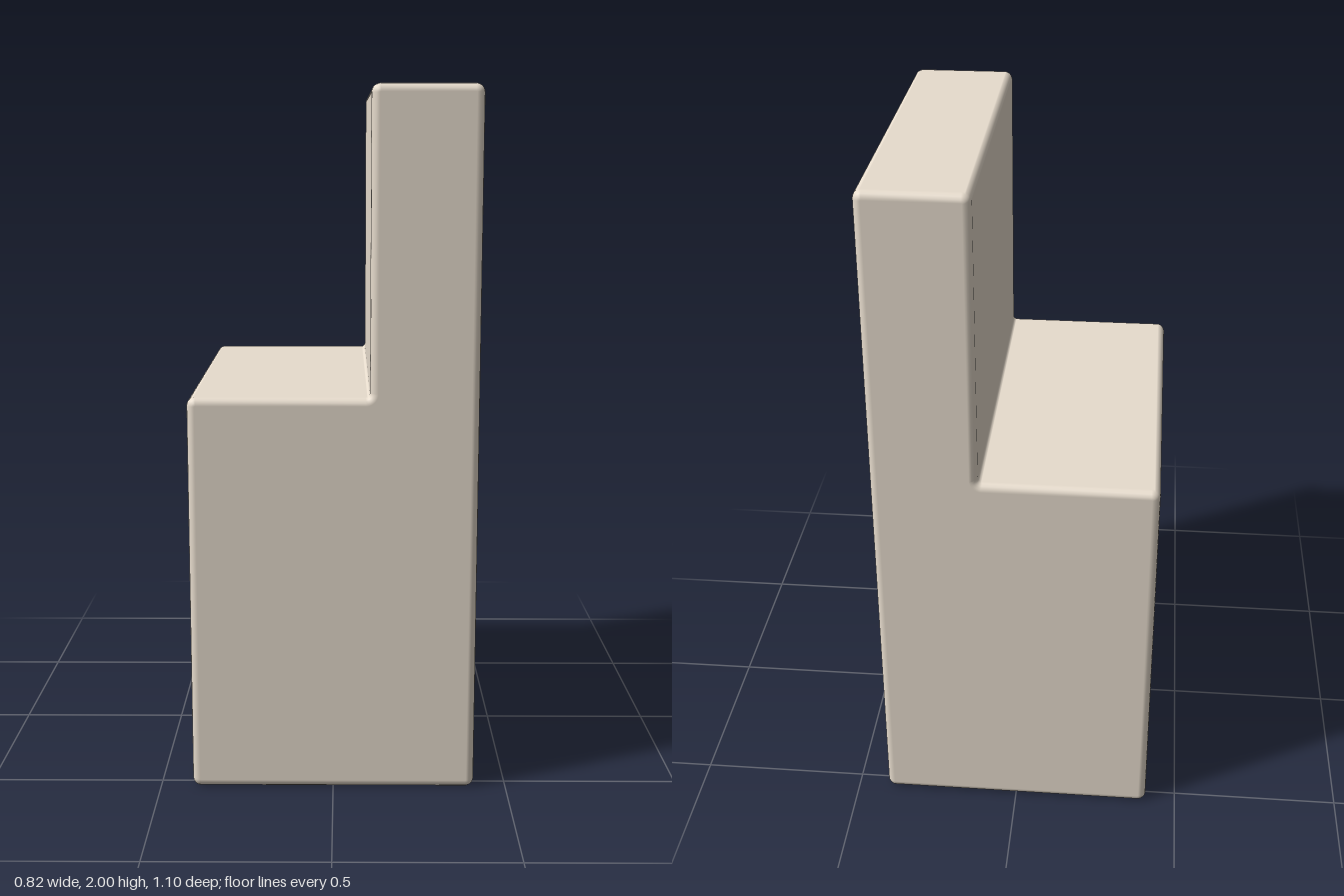
import * as THREE from 'three';
import { mergeVertices } from 'three/addons/utils/BufferGeometryUtils.js';

const BACK = -0.408, FRONT = 0.408, STEP_X = 0.103, STEP_Y = 1.147, TOP = 2, HALF = 0.548;
const R = 0.025, BEVEL = 0.023, DEPTH = 0.71;

// Closed outline with rounded corners; the inner corner is tighter
function roundedOutline(points, radius) {
  const shape = new THREE.Shape();
  points.forEach((p, i) => {
    const toPrev = points[(i + points.length - 1) % points.length].clone().sub(p);
    const toNext = points[(i + 1) % points.length].clone().sub(p);
    const convex = toNext.cross(toPrev) > 0;
    const r = convex ? radius : radius / 2;
    const a = p.clone().add(toPrev.setLength(r));
    const b = p.clone().add(toNext.setLength(r));
    const c = a.clone().add(b).sub(p);
    if (i === 0) shape.moveTo(a.x, a.y); else shape.lineTo(a.x, a.y);
    shape.absarc(c.x, c.y, r, Math.atan2(a.y - c.y, a.x - c.x), Math.atan2(b.y - c.y, b.x - c.x), !convex);
  });
  shape.closePath();
  return shape;
}

// Arched opening: flat sill, upright sides, half-round head
function archPath(path) {
  const w = 0.44, sill = 0.06, spring = 0.51, f = 0.012;
  path.moveTo(-w + f, sill);
  path.lineTo(w - f, sill);
  path.absarc(w - f, sill + f, f, -Math.PI / 2, 0);
  path.lineTo(w, spring);
  path.absarc(0, spring, w, 0, Math.PI);
  path.lineTo(-w, sill + f);
  path.absarc(-w + f, sill + f, f, Math.PI, Math.PI * 1.5);
  return path;
}

// Turn a drawing in (z, y) so that it faces -x at the given x
const faceSide = (geo, x) => geo.rotateY(-Math.PI / 2).translate(x, 0, 0);

// Stepped block with softened edges, left open on the -x side
function blockGeometry() {
  const outline = [
    [BACK, 0], [FRONT, 0], [FRONT, TOP], [STEP_X, TOP], [STEP_X, STEP_Y], [BACK, STEP_Y],
  ].map(([x, y]) => new THREE.Vector2(x, y));
  const depth = 2 * (HALF - BEVEL);
  let geo = new THREE.ExtrudeGeometry(roundedOutline(outline, R), {
    depth, curveSegments: 5, bevelEnabled: true, bevelSegments: 4,
    bevelSize: BEVEL, bevelThickness: BEVEL, bevelOffset: -BEVEL,
  });
  geo.translate(0, 0, -depth / 2);
  geo.deleteAttribute('uv');
  geo.deleteAttribute('normal');
  geo.clearGroups();
  geo = mergeVertices(geo, 1e-5);
  geo.computeVertexNormals();

  // keep the broad faces evenly flat: snap nearly axis-aligned normals
  const normal = geo.attributes.normal, n = new THREE.Vector3();
  for (let i = 0; i < normal.count; i++) {
    n.fromBufferAttribute(normal, i);
    if (Math.max(Math.abs(n.x), Math.abs(n.y), Math.abs(n.z)) > 0.95) n.round();
    normal.setXYZ(i, n.x, n.y, n.z);
  }

  // drop the -x face, which the arched panel replaces
  const pos = geo.attributes.position, old = geo.index.array, kept = [];
  for (let i = 0; i < old.length; i += 3) {
    const tri = [old[i], old[i + 1], old[i + 2]];
    if (!tri.every((v) => pos.getX(v) < BACK + 1e-4)) kept.push(...tri);
  }
  geo.setIndex(kept);
  return geo;
}

// Flat side panel pierced by the arch
function panelGeometry() {
  const z = HALF - BEVEL;
  const shape = new THREE.Shape([[-z, R], [z, R], [z, STEP_Y - R], [-z, STEP_Y - R]]
    .map(([u, v]) => new THREE.Vector2(u, v)));
  shape.holes.push(archPath(new THREE.Path()));
  return faceSide(new THREE.ShapeGeometry(shape, 12), BACK);
}

// Inner walls of the niche, with triangles turned to face inwards
function liningGeometry() {
  const tube = new THREE.ExtrudeGeometry(archPath(new THREE.Shape()), {
    depth: DEPTH, curveSegments: 12, bevelEnabled: false,
  });
  const walls = tube.groups.find((g) => g.materialIndex === 1);
  const p = tube.attributes.position.array.slice(walls.start * 3, (walls.start + walls.count) * 3);
  for (let i = 0; i < p.length; i += 9) {
    for (let k = 0; k < 3; k++) {
      const t = p[i + 3 + k];
      p[i + 3 + k] = p[i + 6 + k];
      p[i + 6 + k] = t;
    }
  }
  const geo = new THREE.BufferGeometry();
  geo.setAttribute('position', new THREE.BufferAttribute(p, 3));
  geo.translate(0, 0, -DEPTH);
  geo.computeVertexNormals();
  return faceSide(geo, BACK);
}

export function createModel() {
  const group = new THREE.Group();
  group.name = 'steppedBlockWithNiche';
  const stone = new THREE.MeshStandardMaterial({ color: 0xe7dccd });
  stone.name = 'warm stone';
  const add = (name, geo) => {
    const mesh = new THREE.Mesh(geo, stone);
    mesh.name = name;
    group.add(mesh);
  };
  add('steppedBlock', blockGeometry());
  add('archedPanel', panelGeometry());
  add('nicheWalls', liningGeometry());
  add('nicheBack', faceSide(new THREE.ShapeGeometry(archPath(new THREE.Shape()), 12), BACK + DEPTH));
  return group;
}
